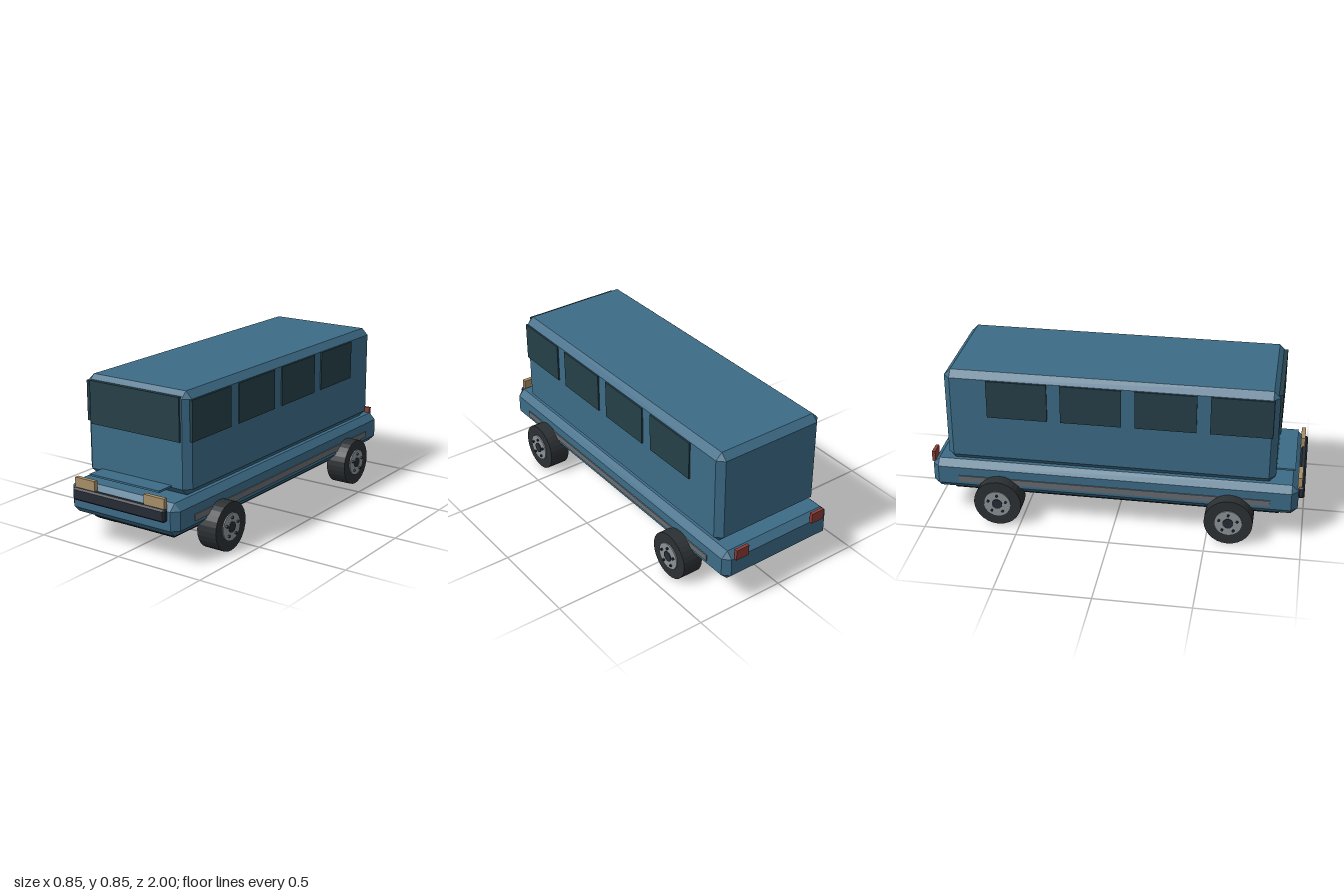
import * as THREE from 'three';
import { ConvexGeometry } from 'three/addons/geometries/ConvexGeometry.js';

const paint = (color) => new THREE.MeshStandardMaterial({ color, flatShading: true });
const BODY = paint(0x3c6b86), GLASS = paint(0x263f48), DARK = paint(0x262c36), TYRE = paint(0x2b3033);
const TRIM = paint(0x666c72), RIM = paint(0x8a9296), LAMP = paint(0xa88f68), RED = paint(0x8e3c34);

// Box given by its min/max on each axis, with optional chamfered edges
function block(name, material, [x0, x1], [y0, y1], [z0, z1], c = 0) {
  const h = [(x1 - x0) / 2, (y1 - y0) / 2, (z1 - z0) / 2];
  let geometry;
  if (c > 0) {
    const points = [];
    for (const sx of [-1, 1]) for (const sy of [-1, 1]) for (const sz of [-1, 1])
      for (let axis = 0; axis < 3; axis++) {
        const [x, y, z] = h.map((v, i) => (i === axis ? v : v - c));
        points.push(new THREE.Vector3(sx * x, sy * y, sz * z));
      }
    geometry = new ConvexGeometry(points);
  } else {
    geometry = new THREE.BoxGeometry(h[0] * 2, h[1] * 2, h[2] * 2);
  }
  const mesh = new THREE.Mesh(geometry, material);
  mesh.name = name;
  mesh.position.set((x0 + x1) / 2, (y0 + y1) / 2, (z0 + z1) / 2);
  return mesh;
}

// Cylinder lying along x
function disc(name, material, radius, width, sides) {
  const geometry = new THREE.CylinderGeometry(radius, radius, width, sides).rotateZ(Math.PI / 2);
  const mesh = new THREE.Mesh(geometry, material);
  mesh.name = name;
  return mesh;
}

function wheel(name) {
  const group = new THREE.Group();
  group.name = name;
  group.add(disc('tyre', TYRE, 0.128, 0.113, 28));
  group.add(disc('rim', RIM, 0.073, 0.126, 24));
  group.add(disc('hub', DARK, 0.028, 0.134, 16));
  // Lug nuts pass through, showing on both faces
  for (let i = 0; i < 5; i++) {
    const a = Math.PI / 2 + (i * Math.PI * 2) / 5;
    const nut = disc('lugNut', DARK, 0.007, 0.144, 6);
    nut.position.set(0, 0.05 * Math.sin(a), 0.05 * Math.cos(a));
    group.add(nut);
  }
  return group;
}

export function createModel() {
  const van = new THREE.Group();
  van.name = 'van';

  // Main bodies
  van.add(block('underframe', DARK, [-0.26, 0.26], [0.115, 0.19], [-0.895, 0.88], 0.01));
  van.add(block('chassis', BODY, [-0.34, 0.34], [0.155, 0.324], [-0.987, 0.97], 0.035));
  van.add(block('cabin', BODY, [-0.322, 0.322], [0.327, 0.849], [-0.9, 0.847], 0.035));

  // Front fittings
  van.add(block('windscreen', GLASS, [-0.278, 0.278], [0.602, 0.825], [0.835, 0.858]));
  van.add(block('bonnetLedge', BODY, [-0.22, 0.22], [0.362, 0.372], [0.83, 0.945]));
  van.add(block('bumper', DARK, [-0.29, 0.29], [0.237, 0.303], [0.965, 1.0], 0.009));

  // Mirrored parts
  for (const s of [-1, 1]) {
    const side = s > 0 ? 'left' : 'right';
    const span = (a, b) => (s > 0 ? [a, b] : [-b, -a]);
    van.add(block(side + 'Headlight', LAMP, span(0.155, 0.281), [0.265, 0.355], [0.962, 0.985]));
    van.add(block(side + 'TailLight', RED, span(0.207, 0.285), [0.286, 0.344], [-1.0, -0.982]));
    van.add(block(side + 'TrimStrip', TRIM, span(0.33, 0.346), [0.208, 0.242], [-0.84, 0.825]));
    // Row of side windows
    for (let i = 0; i < 4; i++) {
      const z = 0.66 - i * 0.39;
      van.add(block(side + 'Window' + (i + 1), GLASS, span(0.31, 0.33), [0.602, 0.811], [z - 0.16, z + 0.16]));
    }
    // Front and rear wheels
    for (const [end, z] of [['Front', 0.617], ['Rear', -0.617]]) {
      const w = wheel(side + end + 'Wheel');
      w.position.set(s * 0.352, 0.128, z);
      van.add(w);
    }
  }
  return van;
}
